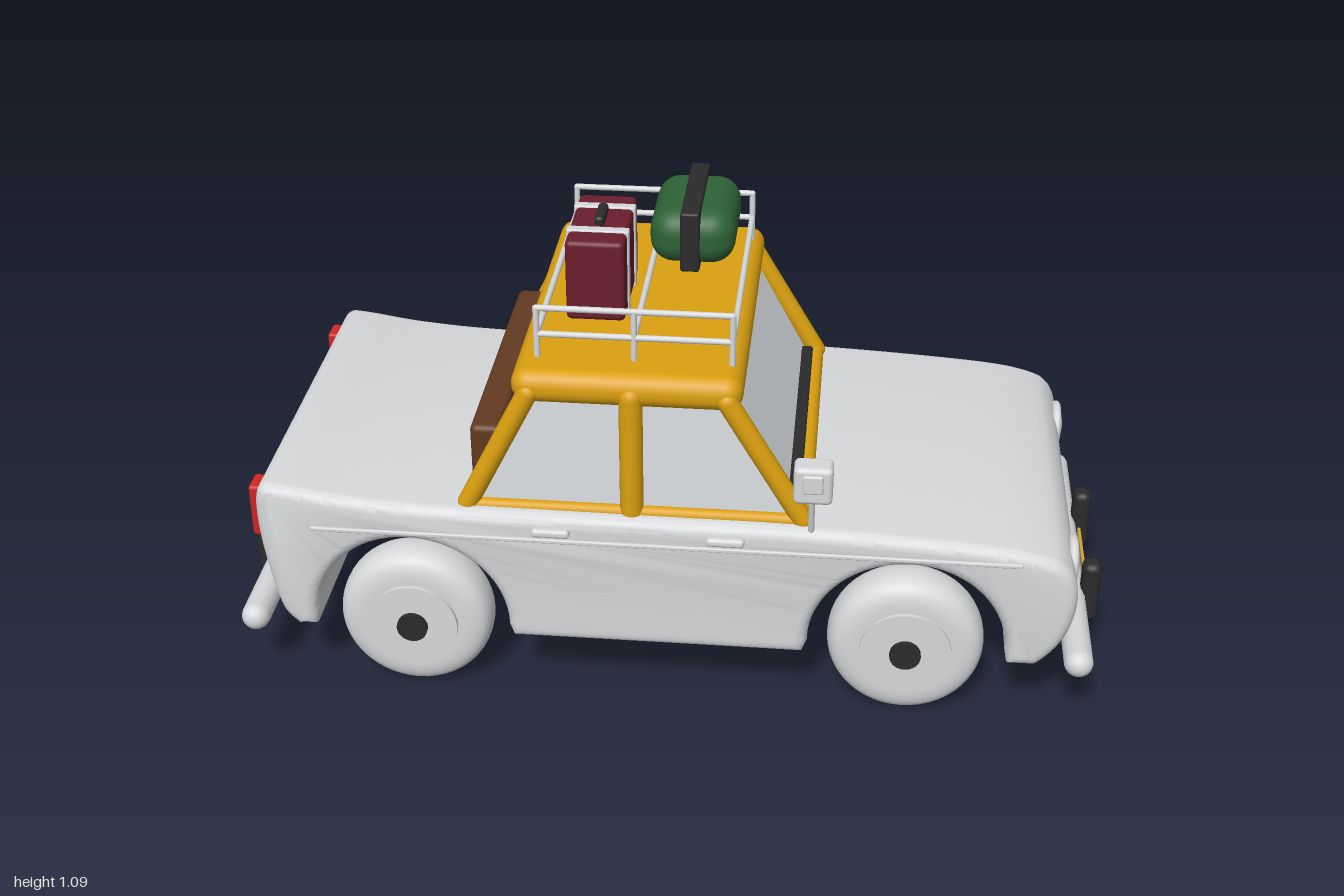
import * as THREE from 'three';
import { mergeVertices, toCreasedNormals } from 'three/addons/utils/BufferGeometryUtils.js';
import { RoundedBoxGeometry } from 'three/addons/geometries/RoundedBoxGeometry.js';

const mat = (name, color, extra = {}) => Object.assign(new THREE.MeshStandardMaterial({ color, ...extra }), { name });

export function createModel() {
  const paint = mat('paleGreyPaint', 0xd6d8da);
  const yellow = mat('taxiYellow', 0xdba010);
  const glass = mat('windowGlass', 0xdde1e4);
  const dark = mat('blackRubber', 0x2b2b2c);
  const maroon = mat('maroonLeather', 0x6b1e2c);
  const green = mat('greenCanvas', 0x2f6338);
  const brown = mat('brownSeat', 0x633a20);
  const red = mat('redLens', 0xd02424);
  const gold = mat('goldPlate', 0xcaa23c);

  const model = new THREE.Group();
  model.name = 'car';
  const car = new THREE.Group();
  car.name = 'carParts';
  car.position.z = -0.02;
  model.add(car);

  const add = (name, geo, material, x = 0, y = 0, z = 0) => {
    const m = new THREE.Mesh(geo, material);
    m.name = name;
    m.position.set(x, y, z);
    car.add(m);
    return m;
  };
  // Box given by its extents on each axis, with rounded edges when r > 0
  const box = (name, material, [x0, x1], [y0, y1], [z0, z1], r = 0) => {
    const s = [x1 - x0, y1 - y0, z1 - z0];
    const geo = r ? new RoundedBoxGeometry(...s, 4, r) : new THREE.BoxGeometry(...s);
    return add(name, geo, material, (x0 + x1) / 2, (y0 + y1) / 2, (z0 + z1) / 2);
  };
  // Round bar between two points
  const bar = (name, material, a, b, r, capped = true) => {
    const p = new THREE.Vector3(...a), q = new THREE.Vector3(...b);
    const d = q.clone().sub(p);
    const geo = capped ? new THREE.CapsuleGeometry(r, d.length(), 6, 16) : new THREE.CylinderGeometry(r, r, d.length(), 16);
    const m = add(name, geo, material, ...p.clone().add(q).multiplyScalar(0.5).toArray());
    m.quaternion.setFromUnitVectors(new THREE.Vector3(0, 1, 0), d.normalize());
    return m;
  };
  const smooth = (geo, angle) => {
    geo.deleteAttribute('uv');
    geo.deleteAttribute('normal');
    return toCreasedNormals(mergeVertices(geo, 1e-4), angle);
  };
  const sides = [-1, 1];
  const rearX = -0.565, frontX = 0.55;

  // Body: side profile with wheel arches cut right through
  const s = new THREE.Shape();
  s.moveTo(-0.79, 0.157);
  s.lineTo(-0.835, 0.157);
  s.splineThru([[-0.868, 0.2], [-0.89, 0.3], [-0.903, 0.4], [-0.903, 0.49], [-0.885, 0.525], [-0.84, 0.526],
    [-0.69, 0.505], [-0.47, 0.492], [0, 0.488], [0.33, 0.485], [0.7, 0.465], [0.84, 0.443], [0.895, 0.41],
    [0.917, 0.35], [0.912, 0.28], [0.888, 0.215], [0.845, 0.163], [0.82, 0.157]].map(p => new THREE.Vector2(...p)));
  s.lineTo(frontX + 0.225, 0.157);
  s.absarc(frontX, 0.185, 0.22, 0, Math.PI, false);
  s.lineTo(frontX - 0.23, 0.157);
  s.lineTo(rearX + 0.23, 0.157);
  s.absarc(rearX, 0.185, 0.22, 0, Math.PI, false);
  const bevel = 0.028;
  const bodyGeo = new THREE.ExtrudeGeometry(s, {
    depth: 0.88 - 2 * bevel, curveSegments: 40, bevelEnabled: true,
    bevelThickness: bevel, bevelSize: bevel, bevelOffset: -bevel, bevelSegments: 5,
  });
  bodyGeo.translate(0, 0, -0.44 + bevel);
  add('body', smooth(bodyGeo, 0.6), paint);

  // Cabin glass
  const cabin = new THREE.Shape([[-0.425, 0.46], [0.305, 0.46], [0.135, 0.78], [-0.275, 0.78]].map(p => new THREE.Vector2(...p)));
  const cabinGeo = new THREE.ExtrudeGeometry(cabin, { depth: 0.78, bevelEnabled: false });
  cabinGeo.translate(0, 0, -0.39);
  add('cabinGlass', cabinGeo, glass);

  // Roof, pillars and sills
  box('roof', yellow, [-0.325, 0.175], [0.747, 0.826], [-0.407, 0.407], 0.037);
  for (const k of sides) {
    const z = k * 0.393;
    bar('frontPillar', yellow, [0.31, 0.49, z], [0.142, 0.775, z], 0.023);
    bar('rearPillar', yellow, [-0.43, 0.49, z], [-0.287, 0.775, z], 0.023);
    bar('middlePillar', yellow, [-0.065, 0.48, z], [-0.065, 0.775, z], 0.026);
    bar('windowSill', yellow, [-0.43, 0.487, z], [0.31, 0.487, z], 0.016);
  }
  bar('windscreenSill', yellow, [0.308, 0.488, -0.393], [0.308, 0.488, 0.393], 0.021);
  box('wiperStrip', dark, [0.275, 0.303], [0.5, 0.518], [-0.36, 0.36], 0.006);
  box('rearSeat', brown, [-0.43, -0.36], [0.48, 0.652], [-0.34, 0.34], 0.015);

  // Wheels: rounded tyre, disc and dark hub
  const tyreProfile = new THREE.SplineCurve([[0.095, -0.062], [0.13, -0.061], [0.158, -0.051], [0.172, -0.03], [0.176, 0],
    [0.172, 0.03], [0.158, 0.051], [0.13, 0.061], [0.095, 0.062]].map(p => new THREE.Vector2(...p)));
  const tyreGeo = new THREE.LatheGeometry(tyreProfile.getPoints(24), 48).rotateX(Math.PI / 2);
  const discGeo = new THREE.CylinderGeometry(0.103, 0.103, 0.143, 40).rotateX(Math.PI / 2);
  const hubGeo = new THREE.CylinderGeometry(0.035, 0.035, 0.166, 24).rotateX(Math.PI / 2);
  for (const x of [rearX, frontX]) for (const k of sides) {
    const z = k * 0.367;
    add('tyre', tyreGeo, paint, x, 0.176, z);
    add('wheelDisc', discGeo, paint, x, 0.176, z);
    add('wheelHub', hubGeo, dark, x, 0.176, z);
  }

  // Side trim and door handles
  for (const k of sides) {
    const z = k * 0.44;
    box('sideTrim', paint, [-0.78, 0.79], [0.424, 0.434], [z - 0.006, z + 0.006], 0.003);
    for (const x of [-0.24, 0.145])
      box('doorHandle', paint, [x - 0.042, x + 0.042], [0.442, 0.462], [z - 0.014, z + 0.014], 0.008);
  }

  // Bumpers with upright guards
  for (const e of sides) {
    bar('bumper', paint, [e * 0.935, 0.167, -0.42], [e * 0.935, 0.167, 0.42], 0.033);
    for (const k of sides)
      box('bumperGuard', dark, [e * 0.978 - 0.022, e * 0.978 + 0.022], [0.107, 0.262],
        [k * 0.155 - 0.026, k * 0.155 + 0.026], 0.018);
  }

  // Front: grille, lamps and plate
  box('grille', dark, [0.87, 0.919], [0.22, 0.328], [-0.207, 0.207]);
  for (let i = 0; i < 5; i++) {
    const y = 0.236 + i * 0.0195;
    box('grilleSlat', paint, [0.9, 0.924], [y - 0.0035, y + 0.0035], [-0.207, 0.207]);
  }
  for (const k of sides) {
    const z = k * 0.3;
    add('headlampRing', new THREE.TorusGeometry(0.048, 0.011, 12, 40).rotateY(Math.PI / 2), paint, 0.91, 0.36, z);
    add('headlamp', new THREE.SphereGeometry(0.042, 32, 20).scale(0.4, 1, 1), paint, 0.911, 0.36, z);
    box('indicator', yellow, [0.86, 0.912], [0.236, 0.266], [z - 0.036, z + 0.036], 0.004);
    // Tail lamps
    box('tailLamp', red, [-0.928, -0.89], [0.37, 0.5], [k * 0.365 - 0.03, k * 0.365 + 0.03], 0.008);
  }
  box('frontPlate', gold, [0.967, 0.974], [0.142, 0.192], [-0.092, 0.092]);
  box('rearPlate', gold, [-0.925, -0.917], [0.268, 0.335], [-0.1, 0.1]);
  box('rearPlateMount', paint, [-0.917, -0.88], [0.28, 0.325], [-0.08, 0.08]);

  // Wing mirror on one side only
  bar('mirrorStem', paint, [0.33, 0.47, 0.42], [0.33, 0.6, 0.452], 0.007);
  box('mirrorHead', paint, [0.29, 0.374], [0.585, 0.674], [0.43, 0.488], 0.012);
  box('mirrorCap', paint, [0.31, 0.354], [0.615, 0.66], [0.48, 0.493], 0.005);

  // Roof rack
  const rackX = [-0.275, -0.065, 0.147];
  for (const k of sides) {
    const z = k * 0.32;
    for (const x of rackX) bar('rackPost', paint, [x, 0.815, z], [x, 0.942, z], 0.007);
    for (const y of [0.88, 0.942]) bar('rackRail', paint, [rackX[0], y, z], [rackX[2], y, z], 0.007);
  }
  for (const x of rackX) bar('rackCrossbar', paint, [x, 0.88, -0.32], [x, 0.88, 0.32], 0.007);

  // Suitcase with straps and handle
  box('suitcase', maroon, [-0.218, -0.09], [0.888, 1.074], [0.013, 0.267], 0.012);
  for (const z of [0.202, 0.078])
    box('suitcaseStrap', paint, [-0.222, -0.086], [0.885, 1.078], [z - 0.012, z + 0.012], 0.004);
  box('suitcaseHandle', dark, [-0.165, -0.143], [1.07, 1.094], [0.099, 0.181], 0.008);

  // Duffel bag with wide belt
  box('duffelBag', green, [-0.07, 0.125], [0.885, 1.015], [-0.29, -0.012], 0.055);
  box('duffelBelt', dark, [0.003, 0.047], [0.882, 1.026], [-0.298, -0.002], 0.006);

  return model;
}
